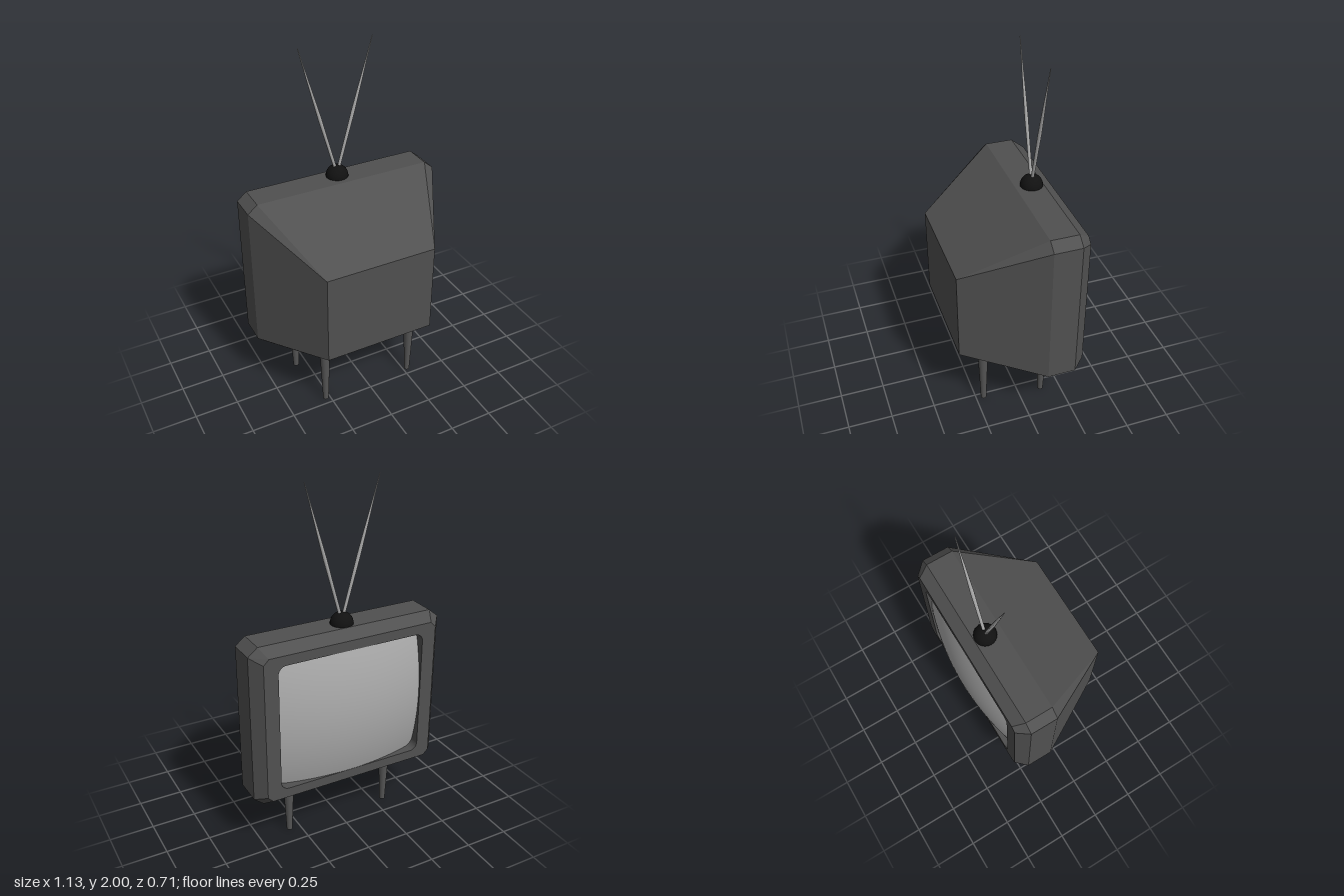
import * as THREE from 'three';

const mat = (color, opts = {}) => new THREE.MeshStandardMaterial({ color, ...opts });

// Rectangle with chamfered corners, counter-clockwise, as [x, y] points
function chamferedRect(hw, y0, y1, cx, cy) {
  return [
    [hw, y0 + cy], [hw, y1 - cy], [hw - cx, y1], [-hw + cx, y1],
    [-hw, y1 - cy], [-hw, y0 + cy], [-hw + cx, y0], [hw - cx, y0],
  ];
}

// Rounded rectangle traced as a path, for the screen opening
function roundedRect(hw, y0, y1, r) {
  const p = new THREE.Path();
  p.moveTo(-hw + r, y0);
  p.lineTo(hw - r, y0);
  p.absarc(hw - r, y0 + r, r, -Math.PI / 2, 0);
  p.lineTo(hw, y1 - r);
  p.absarc(hw - r, y1 - r, r, 0, Math.PI / 2);
  p.lineTo(-hw + r, y1);
  p.absarc(-hw + r, y1 - r, r, Math.PI / 2, Math.PI);
  p.lineTo(-hw, y0 + r);
  p.absarc(-hw + r, y0 + r, r, Math.PI, Math.PI * 1.5);
  return p;
}

// Flat-faced skin through sections running from +z to -z, capped at the +z end
function loft(sections) {
  const pos = [];
  const tri = (...pts) => pts.forEach((p) => pos.push(...p));
  const rings = sections.map(({ z, pts }) => pts.map(([x, y]) => [x, y, z]));
  for (let i = 0; i < rings.length - 1; i++) {
    const n = rings[i].length;
    for (let j = 0; j < n; j++) {
      const k = (j + 1) % n;
      const a = rings[i][j], b = rings[i][k], c = rings[i + 1][k], d = rings[i + 1][j];
      tri(a, d, c);
      if (a[0] !== b[0] || a[1] !== b[1]) tri(a, c, b);
    }
  }
  const cap = rings[0];
  for (let j = 1; j < cap.length - 1; j++) tri(cap[0], cap[j], cap[j + 1]);
  const g = new THREE.BufferGeometry();
  g.setAttribute('position', new THREE.Float32BufferAttribute(pos, 3));
  g.computeVertexNormals();
  return g;
}

export function createModel() {
  const model = new THREE.Group();
  const add = (name, geometry, material, x = 0, y = 0, z = 0) => {
    const mesh = new THREE.Mesh(geometry, material);
    mesh.name = name;
    mesh.position.set(x, y, z);
    model.add(mesh);
    return mesh;
  };
  const casing = mat(0x505050, { flatShading: true });
  const legMat = mat(0x555555);
  const metal = mat(0xaaaaaa);

  // Cabinet: tapered housing, straight rim, bevel toward the screen side
  const rim = chamferedRect(0.565, 0.305, 1.235, 0.055, 0.045);
  const face = chamferedRect(0.51, 0.35, 1.19, 0.03, 0.03);
  add('cabinet', loft([
    { z: 0.355, pts: chamferedRect(0.322, 0.43, 0.96, 0, 0) },
    { z: -0.08, pts: rim },
    { z: -0.237, pts: rim },
    { z: -0.302, pts: face },
  ]), casing);

  // Bezel with a rounded opening
  const bezel = new THREE.Shape(face.map(([x, y]) => new THREE.Vector2(x, y)));
  bezel.holes.push(roundedRect(0.43, 0.405, 1.135, 0.045));
  add('bezel', new THREE.ExtrudeGeometry(bezel, { depth: 0.1, bevelEnabled: false, curveSegments: 6 }),
    casing, 0, 0, -0.302);

  // Screen: sheet bulging outward, sinking below the bezel at its corners
  const screen = new THREE.PlaneGeometry(0.88, 0.75, 24, 20).rotateY(Math.PI);
  const p = screen.attributes.position;
  for (let i = 0; i < p.count; i++) {
    p.setZ(i, 0.055 * ((p.getX(i) / 0.4) ** 2 + (p.getY(i) / 0.365) ** 2));
  }
  screen.computeVertexNormals();
  add('screen', screen, mat(0xaaaaaa), 0, 0.77, -0.356);

  // Tapered legs
  for (const side of [-1, 1]) {
    for (const [end, x, z, top] of [['front', 0.275, 0.205, 0.42], ['rear', 0.313, -0.137, 0.34]]) {
      const name = end + (side > 0 ? 'LeftLeg' : 'RightLeg');
      add(name, new THREE.CylinderGeometry(0.032, 0.016, top, 16), legMat, side * x, top / 2, z);
    }
  }

  // Aerial base and its two rods
  add('antennaBase', new THREE.SphereGeometry(0.063, 24, 16), mat(0x111111), 0, 1.237, -0.172);
  const rodLength = 0.764;
  const profile = [[0, 0], [0.009, 0], [0.0095, 0.3], [0.0105, 0.45], [0.008, 0.62], [0.002, 1], [0, 1]]
    .map(([r, t]) => new THREE.Vector2(r, t * rodLength));
  for (const side of [-1, 1]) {
    const rod = add(side > 0 ? 'leftAntenna' : 'rightAntenna',
      new THREE.LatheGeometry(profile, 10), metal, side * 0.005, 1.265, -0.172);
    rod.rotation.z = -side * Math.atan2(0.205, 0.735);
  }
  return model;
}
